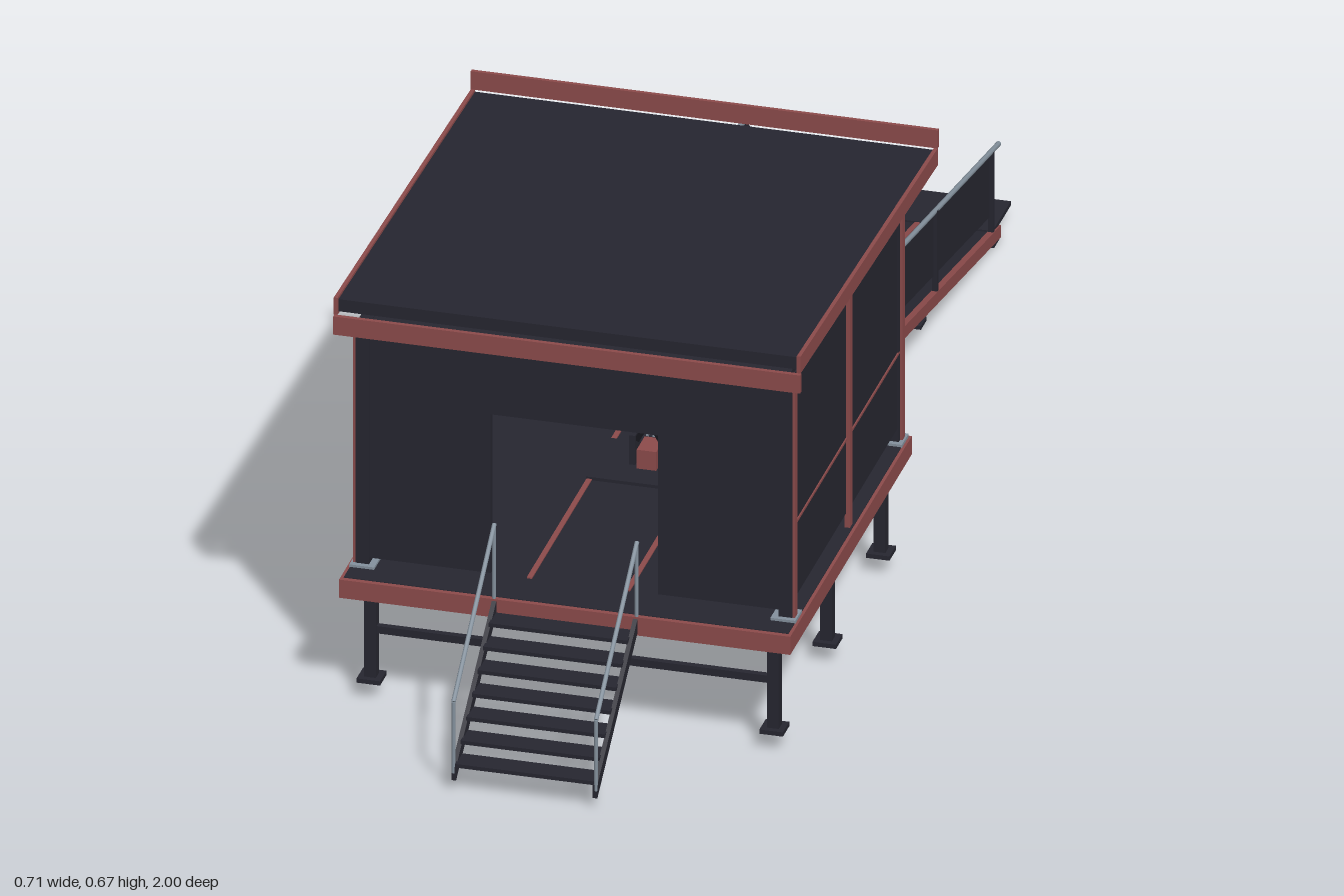
import * as THREE from 'three';

export function createModel() {
  const model = new THREE.Group();
  model.name = 'rampCabin';
  const mat = (name, color) => Object.assign(new THREE.MeshStandardMaterial({ color }), { name });
  const dark = mat('charcoal', 0x262630);
  const red = mat('dustyRed', 0x8c4b4b);
  const steel = mat('steel', 0x84919d);
  const yellow = mat('yellow', 0xcca636);
  const black = mat('nearBlack', 0x17171d);
  const sides = [-1, 1];

  const add = (name, geo, m) => {
    const mesh = new THREE.Mesh(geo, m);
    mesh.name = name;
    model.add(mesh);
    return mesh;
  };
  // box given by its limits on each axis
  const box = (name, m, x0, x1, y0, y1, z0, z1) => {
    const mesh = add(name, new THREE.BoxGeometry(x1 - x0, y1 - y0, z1 - z0), m);
    mesh.position.set((x0 + x1) / 2, (y0 + y1) / 2, (z0 + z1) / 2);
    return mesh;
  };
  // box mirrored to both sides
  const pair = (name, m, x0, x1, ...rest) => {
    box(name, m, x0, x1, ...rest);
    box(name, m, -x1, -x0, ...rest);
  };
  // side profile of [z, y] points, extruded across x
  const slab = (name, m, x, width, pts) => {
    const shape = new THREE.Shape(pts.map(([z, y]) => new THREE.Vector2(z, y)));
    const geo = new THREE.ExtrudeGeometry(shape, { depth: width, bevelEnabled: false });
    geo.rotateY(-Math.PI / 2).translate(x + width / 2, 0, 0);
    return add(name, geo, m);
  };
  // sloping strip with upright ends
  const strip = (name, m, x, width, za, ya, zb, yb, h) =>
    slab(name, m, x, width, [[za, ya], [zb, yb], [zb, yb - h], [za, ya - h]]);
  // round bar along straight runs
  const rail = (name, m, r, ...pts) => {
    for (let i = 1; i < pts.length; i++) {
      const a = new THREE.Vector3(...pts[i - 1]), b = new THREE.Vector3(...pts[i]);
      const mesh = add(name, new THREE.CylinderGeometry(r, r, a.distanceTo(b), 8), m);
      mesh.position.copy(a).lerp(b, 0.5);
      mesh.quaternion.setFromUnitVectors(new THREE.Vector3(0, 1, 0), b.clone().sub(a).normalize());
    }
  };

  // platform: deck, red edge frame, legs and cross bars
  box('deck', dark, -0.34, 0.34, 0.182, 0.209, 0.112, 0.768);
  box('frontEdge', red, -0.345, 0.345, 0.178, 0.208, 0.768, 0.776);
  box('backEdge', red, -0.345, 0.345, 0.178, 0.208, 0.105, 0.112);
  pair('sideEdge', red, 0.339, 0.345, 0.178, 0.208, 0.105, 0.776);
  for (const z of [0.73, 0.437, 0.142]) {
    pair('platformLeg', dark, 0.299, 0.317, 0.03, 0.182, z - 0.009, z + 0.009);
    pair('platformFoot', dark, 0.29, 0.326, 0.026, 0.033, z - 0.018, z + 0.018);
    box('platformCrossBar', dark, -0.3, 0.3, 0.105, 0.117, z - 0.005, z + 0.005);
  }

  // front wall with doorway
  const front = new THREE.Shape([[-0.335, 0.222], [-0.128, 0.222], [-0.128, 0.485], [0.128, 0.485],
    [0.128, 0.222], [0.335, 0.222], [0.335, 0.607], [-0.335, 0.607]].map(p => new THREE.Vector2(...p)));
  add('frontWall', new THREE.ExtrudeGeometry(front, { depth: 0.01, bevelEnabled: false }), dark).position.z = 0.712;

  // side walls, corner posts and red trims
  pair('sideWall', dark, 0.324, 0.332, 0.235, 0.607, 0.13, 0.715);
  pair('wallSeam', red, 0.331, 0.334, 0.357, 0.361, 0.13, 0.715);
  for (const z of [0.124, 0.415, 0.718]) pair('sideTrim', red, 0.33, 0.338, 0.212, 0.607, z - 0.007, z + 0.007);
  for (const z of [0.127, 0.715]) {
    pair('cornerPost', dark, 0.313, 0.334, 0.21, 0.607, z - 0.011, z + 0.011);
    pair('postPlate', steel, 0.303, 0.341, 0.208, 0.213, z - 0.019, z + 0.019);
  }

  // back header and low barriers
  box('backHeader', dark, -0.32, 0.32, 0.545, 0.607, 0.118, 0.136);
  pair('barrierPanel', dark, 0.13, 0.315, 0.225, 0.298, 0.122, 0.127);
  pair('barrierPost', dark, 0.124, 0.131, 0.208, 0.312, 0.119, 0.13);
  for (const s of sides) rail('barrierRail', steel, 0.0035, [s * 0.125, 0.311, 0.124], [s * 0.318, 0.311, 0.124]);

  // roof, support beams and fascias
  strip('roof', dark, 0, 0.704, 0.758, 0.663, 0.004, 0.633, 0.02);
  for (const s of sides) strip('sideFascia', red, s * 0.354, 0.006, 0.762, 0.667, 0.003, 0.637, 0.028);
  box('frontFascia', red, -0.357, 0.357, 0.607, 0.637, 0.758, 0.765);
  box('backFascia', red, -0.357, 0.357, 0.637, 0.667, 0.0, 0.006);
  pair('roofBeam', dark, 0.31, 0.33, 0.605, 0.616, 0.02, 0.75);
  for (const z of [0.13, 0.33, 0.53, 0.71]) box('rafter', dark, -0.33, 0.33, 0.603, 0.615, z - 0.008, z + 0.008);

  // lamps under the back eave
  pair('lampBody', yellow, 0.275, 0.325, 0.53, 0.597, 0.08, 0.118);
  pair('lampFace', red, 0.275, 0.325, 0.53, 0.597, 0.074, 0.08);

  // control kiosk beside the ramp entrance
  box('kioskPost', dark, 0.112, 0.126, 0.208, 0.32, 0.114, 0.126);
  box('kioskBox', dark, 0.093, 0.14, 0.315, 0.404, 0.107, 0.132);
  box('kioskCap', red, 0.092, 0.141, 0.404, 0.41, 0.106, 0.133);

  // floor machine
  box('machineBase', dark, -0.08, 0.08, 0.208, 0.214, 0.24, 0.37);
  box('machineCore', red, -0.015, 0.015, 0.214, 0.245, 0.28, 0.325);
  pair('machineCheek', dark, 0.02, 0.029, 0.214, 0.262, 0.285, 0.315);
  for (const s of sides) {
    box('machineClaw', black, s * 0.013 - 0.004, s * 0.013 + 0.004, 0.25, 0.277, 0.29, 0.31).rotation.z = s * 0.5;
    box('machinePin', steel, s * 0.005 - 0.002, s * 0.005 + 0.002, 0.258, 0.275, 0.297, 0.303);
  }
  box('leverBase', dark, 0.034, 0.046, 0.214, 0.232, 0.29, 0.305);
  rail('lever', dark, 0.0018, [0.04, 0.23, 0.297], [0.04, 0.258, 0.297]);

  // floor markings
  pair('floorLine', red, 0.071, 0.079, 0.208, 0.211, 0.12, 0.7);
  box('thresholdStrip', yellow, -0.071, 0.071, 0.208, 0.212, 0.115, 0.13);

  // ramp: deck, stringers, lip
  const slope = 0.18;
  const rampY = z => 0.207 + (z - 0.11) * slope;
  const onRamp = (name, m, x, w, za, zb, lift, h) =>
    strip(name, m, x, w, za, rampY(za) + lift, zb, rampY(zb) + lift, h);
  onRamp('rampDeck', dark, 0, 0.368, 0.108, -0.93, 0, 0.01);
  box('rampLip', dark, -0.19, 0.19, 0.021, 0.028, -1, -0.9);
  for (const s of sides) {
    onRamp('rampStringer', red, s * 0.188, 0.01, 0.108, -0.935, 0.002, 0.02);
    onRamp('rampLine', red, s * 0.075, 0.008, 0.105, -0.93, 0.002, 0.004);
    onRamp('rampPanel', dark, s * 0.184, 0.005, 0.067, -0.9, 0.127, 0.1);
    for (const z of [0.067, -0.27, -0.59, -0.9])
      box('rampPost', dark, s * 0.188 - 0.004, s * 0.188 + 0.004, rampY(z), rampY(z) + 0.135, z - 0.004, z + 0.004);
    rail('rampHandrail', steel, 0.004, [s * 0.188, 0.338, 0.105], [s * 0.188, 0.153, -0.94]);
    box('rampEndFoot', dark, s * 0.187 - 0.005, s * 0.187 + 0.005, 0, 0.016, -0.93, -0.9);
  }
  for (let i = 0; i < 18; i++) {
    const z = 0.08 - i * 0.03;
    onRamp('rampCleat', black, 0, 0.14, z, z - 0.006, 0.004, 0.005);
  }
  for (const z of [-0.235, -0.585]) {
    const top = rampY(z) - 0.008;
    pair('rampLeg', dark, 0.146, 0.163, 0.03, top, z - 0.008, z + 0.008);
    pair('rampFoot', dark, 0.138, 0.172, 0.026, 0.032, z - 0.016, z + 0.016);
    box('rampCrossBeam', dark, -0.18, 0.18, top - 0.012, top, z - 0.006, z + 0.006);
  }

  // front stairs with handrails
  for (const s of sides) {
    strip('stairStringer', dark, s * 0.108, 0.007, 0.772, 0.208, 0.998, 0.04, 0.022);
    const x = s * 0.109;
    rail('stairHandrail', steel, 0.0035, [x, 0.33, 0.77], [x, 0.147, 0.996]);
    rail('stairLowerPost', steel, 0.003, [x, 0.147, 0.996], [x, 0.03, 0.996]);
    rail('stairUpperPost', steel, 0.003, [x, 0.33, 0.772], [x, 0.2, 0.772]);
  }
  for (let i = 0; i < 7; i++) {
    const z = 0.795 + i * 0.031, y = 0.187 - i * 0.0235;
    box('stairTread', dark, -0.106, 0.106, y - 0.006, y, z - 0.018, z + 0.018);
  }
  return model;
}
